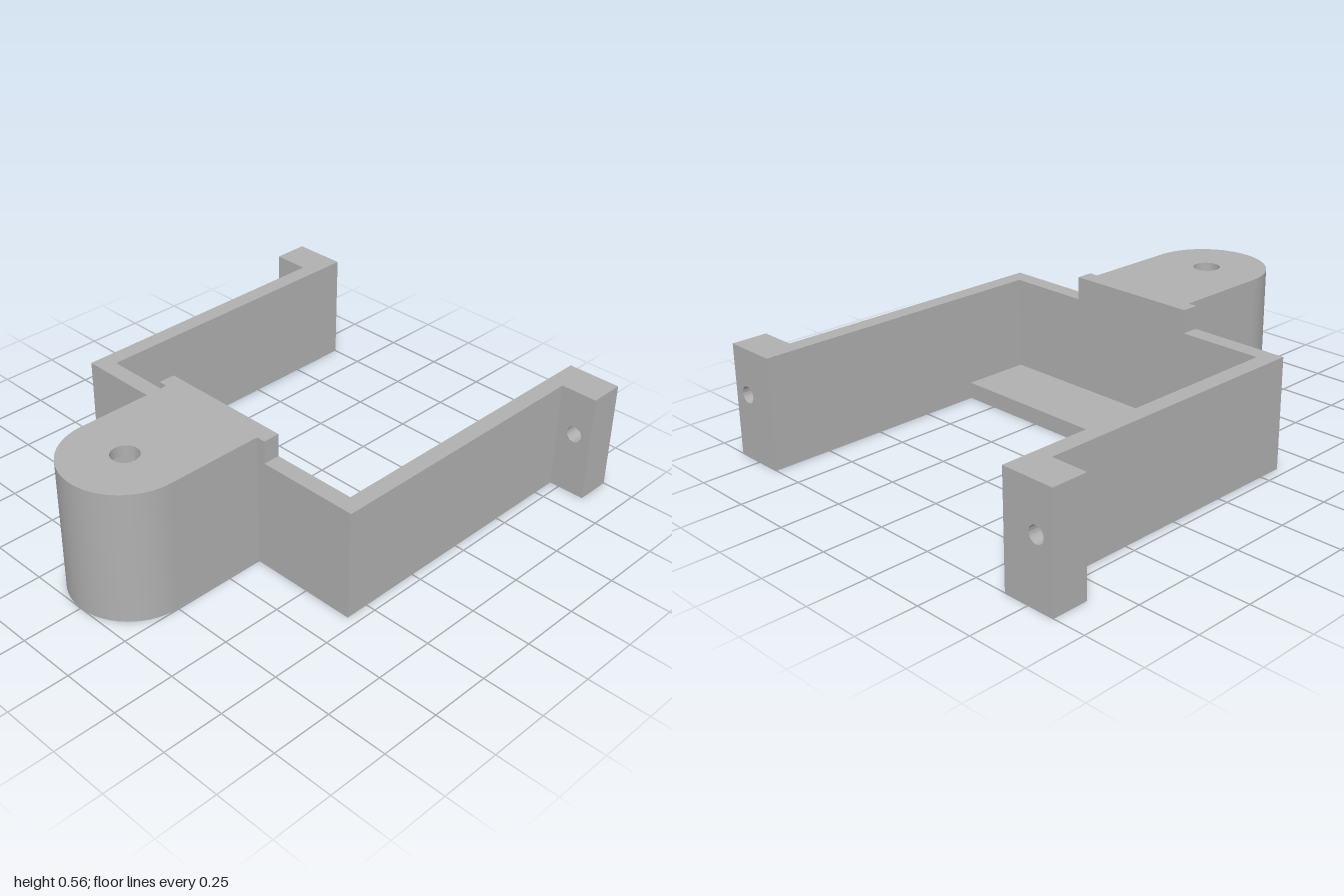
import * as THREE from 'three';
import { toCreasedNormals } from 'three/addons/utils/BufferGeometryUtils.js';

export function createModel() {
  const group = new THREE.Group();
  group.name = 'mountingBracket';
  const grey = new THREE.MeshStandardMaterial({ color: 0xb0b0b0 });
  grey.name = 'grey';

  const add = (name, geometry) => {
    const mesh = new THREE.Mesh(geometry, grey);
    mesh.name = name;
    group.add(mesh);
    return mesh;
  };
  const extrude = (shape, depth) => toCreasedNormals(
    new THREE.ExtrudeGeometry(shape, { depth, bevelEnabled: false, curveSegments: 32 }), 0.5);
  // Extrudes a plan drawn in (x, -z) upwards from y0 to y1
  const plan = (name, shape, y0, y1) =>
    add(name, extrude(shape, y1 - y0).rotateX(-Math.PI / 2).translate(0, y0, 0));
  const polygon = (points) => new THREE.Shape(points.map(([x, z]) => new THREE.Vector2(x, -z)));
  const circle = (x, y, r) => new THREE.Path().absarc(x, y, r, 0, Math.PI * 2, true);

  // U-shaped frame: front wall and two arms
  plan('frame', polygon([
    [-0.71, 0.35], [0.71, 0.35], [0.71, -0.85], [0.64, -0.85],
    [0.64, 0.28], [-0.64, 0.28], [-0.64, -0.85], [-0.71, -0.85],
  ]), 0, 0.46);

  // Shelf inside the frame
  plan('shelf', polygon([[-0.64, 0.28], [0.64, 0.28], [0.64, -0.01], [-0.64, -0.01]]), 0, 0.07);

  // Raised part of the front wall behind the lug
  plan('raisedWall', polygon([[-0.285, 0.35], [0.285, 0.35], [0.285, 0.28], [-0.285, 0.28]]), 0.46, 0.555);

  // Rounded lug: hexagonal nut pocket below, round bolt hole through the top
  const lugShape = (hole) => {
    const s = new THREE.Shape();
    s.moveTo(0.247, -0.35);
    s.lineTo(-0.247, -0.35);
    s.lineTo(-0.247, -0.753);
    s.absarc(0, -0.753, 0.247, Math.PI, Math.PI * 2, false);
    s.closePath();
    s.holes.push(hole);
    return s;
  };
  const hexagon = new THREE.Path(Array.from({ length: 6 }, (_, i) => new THREE.Vector2(
    0.088 * Math.cos(i * Math.PI / 3), -0.753 - 0.088 * Math.sin(i * Math.PI / 3))));
  plan('lugBody', lugShape(hexagon), 0, 0.51);
  plan('lugTop', lugShape(circle(0, -0.753, 0.055)), 0.51, 0.555);

  // Drilled mounting tabs at the arm ends
  for (const [name, side] of [['leftTab', 1], ['rightTab', -1]]) {
    const a = Math.min(side * 0.64, side * 0.865);
    const b = Math.max(side * 0.64, side * 0.865);
    const s = new THREE.Shape([[a, 0], [b, 0], [b, 0.46], [a, 0.46]].map((p) => new THREE.Vector2(...p)));
    s.holes.push(circle(side * 0.79, 0.27, 0.034));
    add(name, extrude(s, 0.15)).position.z = -1;
  }
  return group;
}
